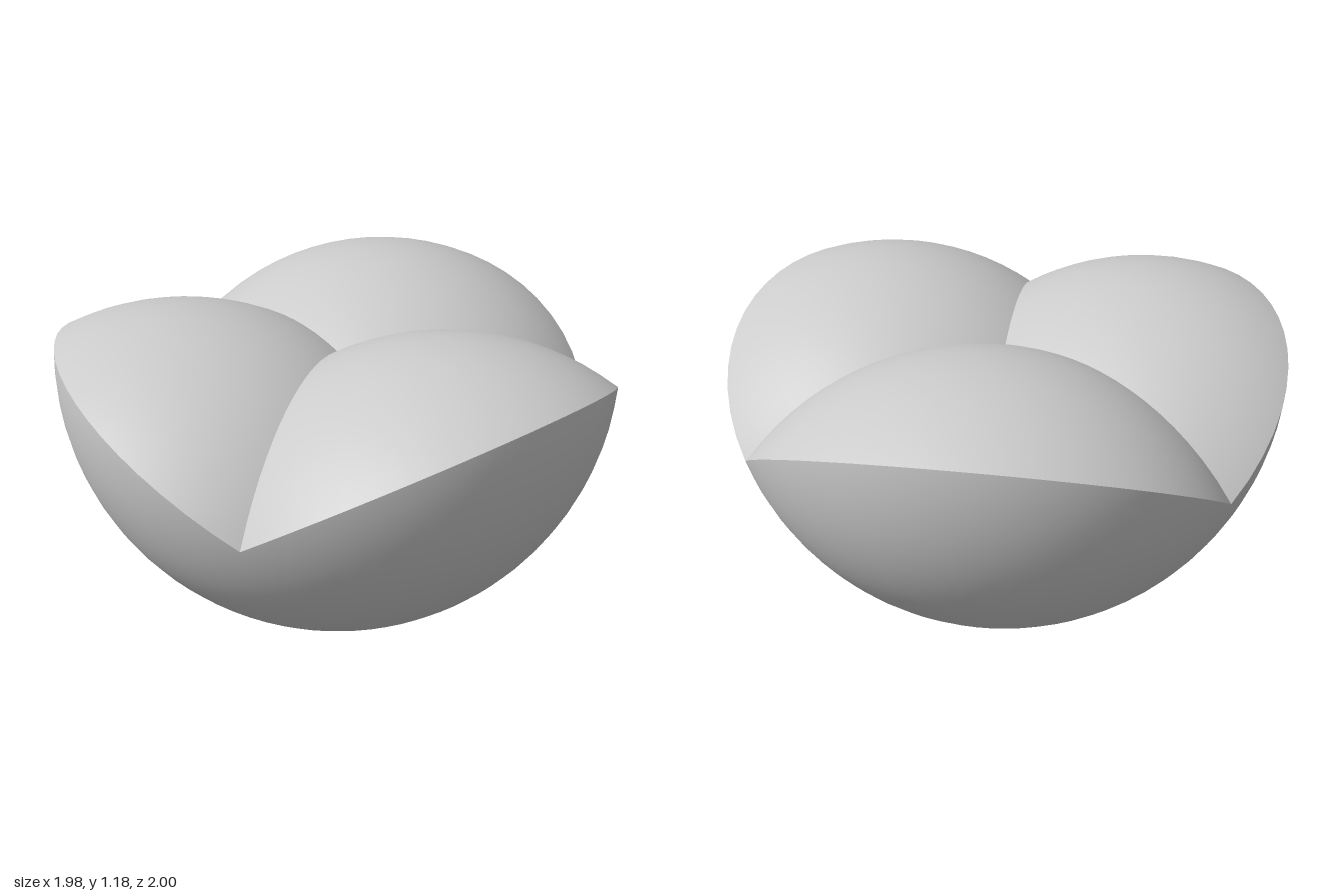
import * as THREE from 'three';

// Unit spheres on a regular tetrahedron: one shapes the bowl, three the lobes.
const D = 1 / Math.sqrt(3);      // lobe centre, distance from the axis
const H = Math.sqrt(2 / 3);      // lobe centre, depth below the bowl centre
const SECTOR = (2 * Math.PI) / 3;
const START = -6.3 * Math.PI / 180; // heading of the first lobe

// Polar angle, up from the bottom, of the rim at angle phi from a lobe's middle
function rimAngle(phi) {
  const a = D * Math.cos(phi);
  return Math.atan2(a, H) + Math.acos(0.5 * (D * D + H * H) / Math.hypot(a, H));
}

// Bends a flat grid into a patch of a unit sphere with exact normals
function spherePatch(name, material, cols, rows, centre, pointAt) {
  const geo = new THREE.PlaneGeometry(1, 1, cols, rows);
  const pos = geo.attributes.position, nor = geo.attributes.normal;
  for (let i = 0; i < pos.count; i++) {
    const p = pointAt(pos.getX(i) + 0.5, pos.getY(i) + 0.5);
    const n = p.clone().sub(centre).normalize();
    pos.setXYZ(i, p.x, p.y, p.z);
    nor.setXYZ(i, n.x, n.y, n.z);
  }
  const mesh = new THREE.Mesh(geo, material);
  mesh.name = name;
  return mesh;
}

export function createModel() {
  const group = new THREE.Group();
  group.name = 'threeLobedBowl';
  const material = new THREE.MeshStandardMaterial({ color: 0xcccccc });

  // Round underside, cut along the scalloped rim
  group.add(spherePatch('roundBase', material, 72, 20, new THREE.Vector3(0, 1, 0), (u, v) => {
    const turn = (1 - u) * 3;
    const phi = (turn - Math.round(turn)) * SECTOR;
    const heading = START + turn * SECTOR;
    const t = v * rimAngle(phi);
    return new THREE.Vector3(Math.sin(t) * Math.cos(heading), 1 - Math.cos(t), Math.sin(t) * Math.sin(heading));
  }));

  // Three domed lobes meeting in grooves
  for (let k = 0; k < 3; k++) {
    const middle = START + k * SECTOR;
    const centre = new THREE.Vector3(D * Math.cos(middle), 1 - H, D * Math.sin(middle));
    group.add(spherePatch('topLobe' + (k + 1), material, 24, 16, centre, (u, v) => {
      const phi = (u - 0.5) * SECTOR;
      const r = v * Math.sin(rimAngle(phi));
      const x = r * Math.cos(middle + phi), z = r * Math.sin(middle + phi);
      const flat = (x - centre.x) ** 2 + (z - centre.z) ** 2;
      return new THREE.Vector3(x, centre.y + Math.sqrt(Math.max(0, 1 - flat)), z);
    }));
  }
  return group;
}
